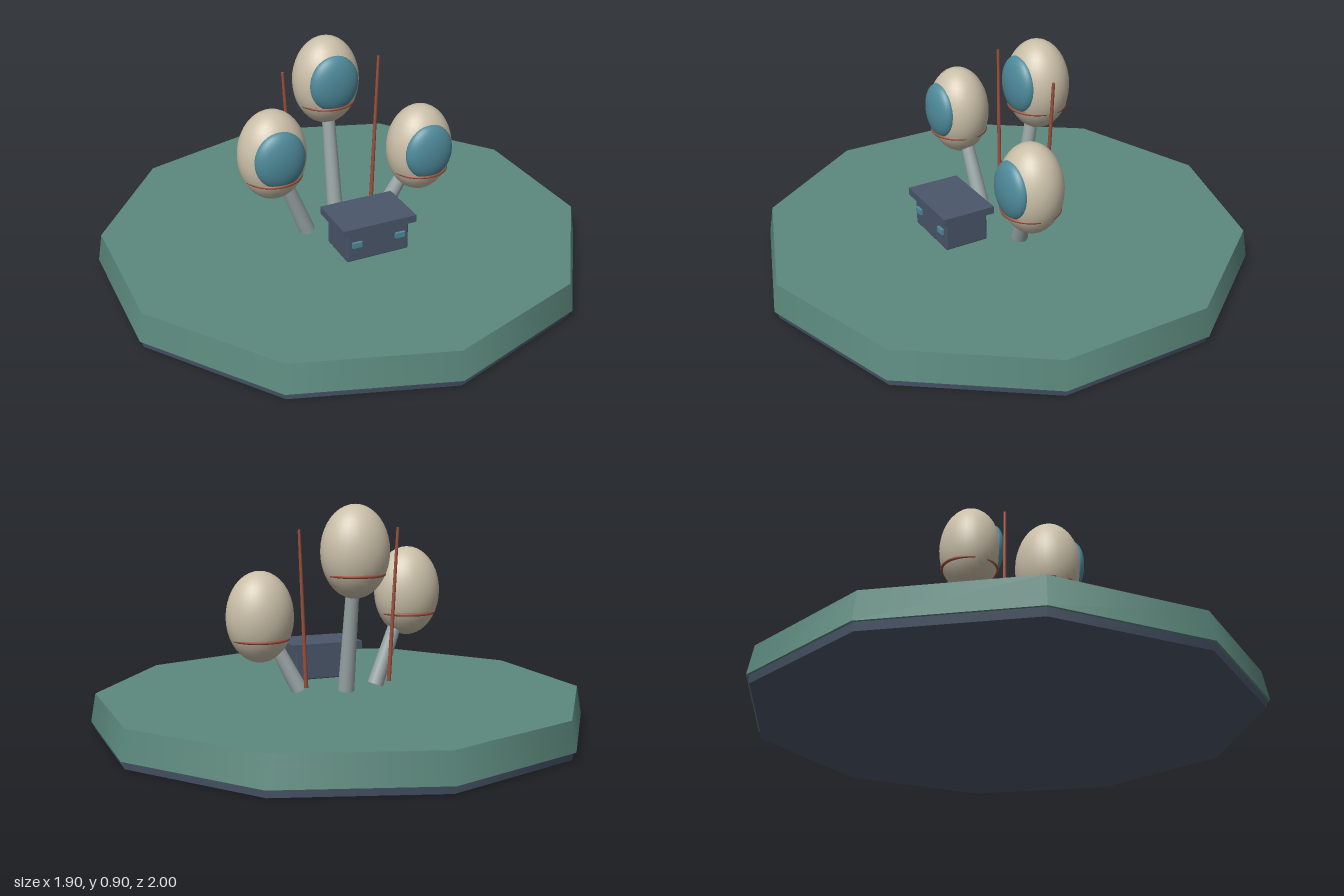
import * as THREE from 'three';
import { RoundedBoxGeometry } from 'three/addons/geometries/RoundedBoxGeometry.js';

const material = (name, color) => {
  const m = new THREE.MeshStandardMaterial({ color });
  m.name = name;
  return m;
};

export function createModel() {
  const green = material('baseGreen', 0x5c897d);
  const navy = material('slateNavy', 0x4a566a);
  const cream = material('shellCream', 0xcabfa8);
  const teal = material('glassTeal', 0x4f8b9b);
  const grey = material('stalkGrey', 0x9aa6a6);
  const copper = material('copper', 0x9a4f3c);

  const model = new THREE.Group();
  const add = (parent, name, geometry, mat, x = 0, y = 0, z = 0) => {
    const mesh = new THREE.Mesh(geometry, mat);
    mesh.name = name;
    mesh.position.set(x, y, z);
    parent.add(mesh);
    return mesh;
  };

  // Tapered cylinder running between two points
  const rod = (parent, name, a, b, rBottom, rTop, mat, sides) => {
    const from = new THREE.Vector3(...a);
    const dir = new THREE.Vector3(...b).sub(from);
    const mesh = add(parent, name, new THREE.CylinderGeometry(rTop, rBottom, dir.length(), sides), mat);
    mesh.position.copy(from).addScaledVector(dir, 0.5);
    mesh.quaternion.setFromUnitVectors(new THREE.Vector3(0, 1, 0), dir.normalize());
  };

  // Ten-sided base on a thin dark foot
  add(model, 'baseFoot', new THREE.CylinderGeometry(0.99, 0.985, 0.03, 10), navy, 0, 0.015, 0);
  add(model, 'basePlate', new THREE.CylinderGeometry(0.98, 1, 0.115, 10), green, 0, 0.0875, 0);

  // Three pods, each on a leaning stalk
  const pods = [
    { name: 'centrePod', at: [0, 0.72, -0.155], foot: [0, 0.158, -0.065] },
    { name: 'rightPod', at: [-0.312, 0.533, 0.035], foot: [-0.163, 0.152, 0.015] },
    { name: 'leftPod', at: [0.316, 0.453, 0.065], foot: [0.166, 0.154, 0.022] },
  ];
  const ball = new THREE.SphereGeometry(1, 32, 20);
  const hoop = new THREE.TorusGeometry(0.113, 0.006, 8, 40).rotateX(Math.PI / 2);
  for (const { name, at, foot } of pods) {
    const group = new THREE.Group();
    group.name = name;
    model.add(group);
    const [x, y, z] = at;
    add(group, 'shell', ball, cream, x, y, z).scale.set(0.137, 0.183, 0.123);
    add(group, 'window', ball, teal, x, y + 0.012, z + 0.085).scale.set(0.103, 0.117, 0.048);
    add(group, 'hoop', hoop, copper, x, y - 0.088, z);
    const top = at.map((v, i) => foot[i] + (v - foot[i]) * 0.85);
    rod(group, 'stalk', foot, top, 0.033, 0.025, grey, 16);
  }

  // Copper rods either side of the centre pod
  for (const s of [-1, 1]) {
    rod(model, s < 0 ? 'rightRod' : 'leftRod',
      [s * 0.178, 0.185, -0.086], [s * 0.208, 0.805, -0.097], 0.009, 0.006, copper, 8);
  }

  // Console box with overhanging lid and two lights
  const consoleBox = new THREE.Group();
  consoleBox.name = 'console';
  model.add(consoleBox);
  add(consoleBox, 'consoleBody', new RoundedBoxGeometry(0.264, 0.125, 0.18, 1, 0.006), navy, 0, 0.225, 0.243);
  add(consoleBox, 'consoleLid', new THREE.BoxGeometry(0.31, 0.03, 0.218), navy, 0, 0.3, 0.243);
  for (const s of [-1, 1]) {
    add(consoleBox, 'consoleLight', new THREE.BoxGeometry(0.04, 0.022, 0.014), teal, s * 0.092, 0.236, 0.337);
  }
  return model;
}
